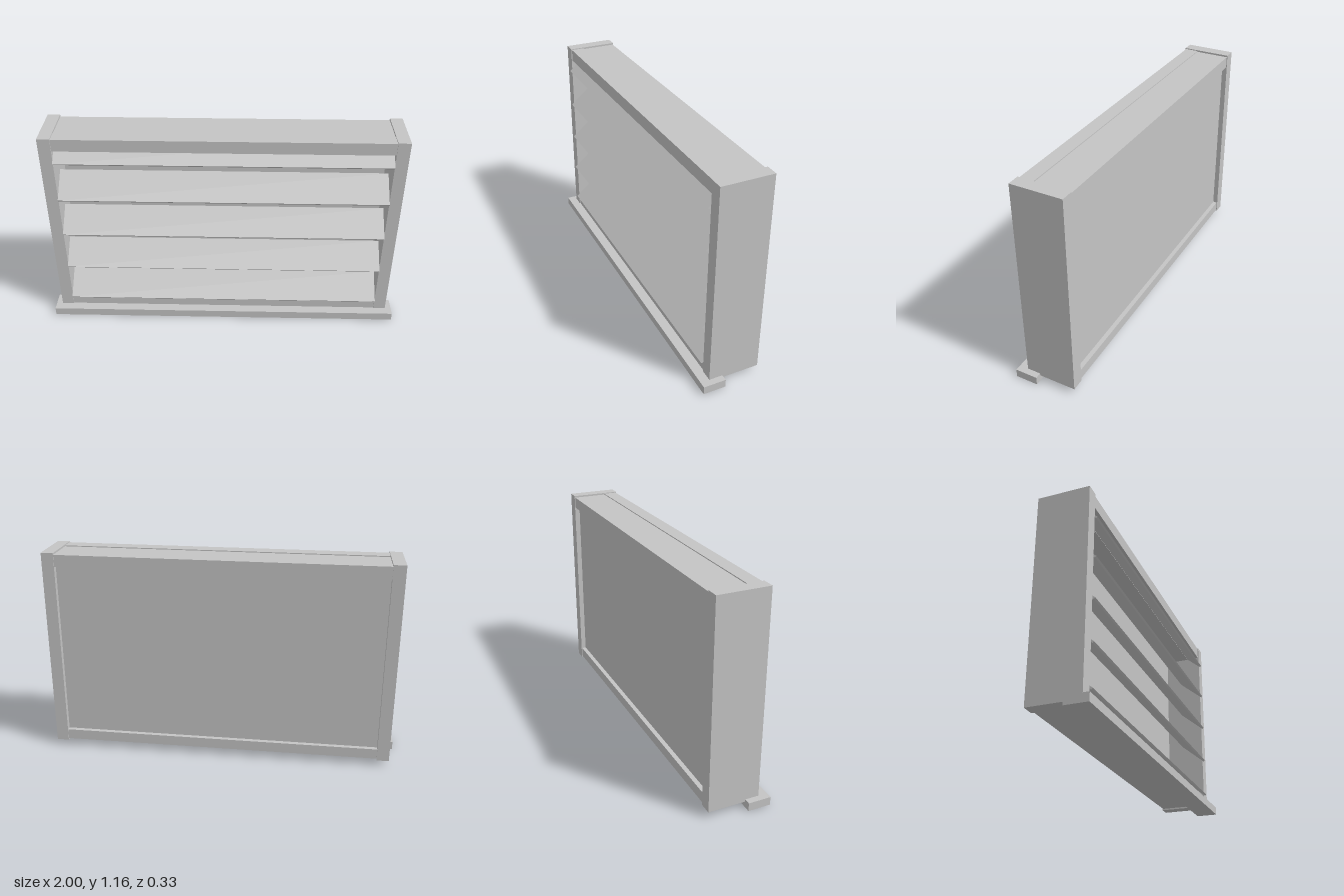
import * as THREE from 'three';

export function createModel() {
  const model = new THREE.Group();
  const grey = new THREE.MeshStandardMaterial({ color: 0xc4c4c4 });
  grey.name = 'plainGrey';

  // Box given by its limits on each axis
  function addBox(name, [x0, x1], [y0, y1], [z0, z1]) {
    const mesh = new THREE.Mesh(new THREE.BoxGeometry(x1 - x0, y1 - y0, z1 - z0), grey);
    mesh.position.set((x0 + x1) / 2, (y0 + y1) / 2, (z0 + z1) / 2);
    mesh.name = name;
    model.add(mesh);
  }

  const inner = 0.897, outer = 0.965;
  const span = [-inner, inner];

  // Side posts
  addBox('leftPost', [inner, outer], [0.033, 1.164], [-0.164, 0.117]);
  addBox('rightPost', [-outer, -inner], [0.033, 1.164], [-0.164, 0.117]);

  // Front and rear rails, the rear ones set slightly in
  addBox('frontTopRail', span, [1.09, 1.159], [0.036, 0.112]);
  addBox('frontBottomRail', span, [0.038, 0.1], [0.036, 0.112]);
  addBox('rearTopRail', span, [1.088, 1.154], [-0.16, 0.036]);
  addBox('rearBottomRail', span, [0.042, 0.1], [-0.16, 0.036]);

  // Recessed back panel
  addBox('backPanel', span, [0.08, 1.11], [-0.135, -0.11]);

  // Sill
  addBox('sill', [-1, 1], [0, 0.046], [0.042, 0.166]);

  // Sloping slats
  const slatGeometry = new THREE.BoxGeometry(2 * inner, 0.011, 0.18);
  for (let i = 0; i < 5; i++) {
    const slat = new THREE.Mesh(slatGeometry, grey);
    slat.name = `slat${i + 1}`;
    slat.position.set(0, 0.164 + i * 0.2285, 0.0595);
    slat.rotation.x = THREE.MathUtils.degToRad(40);
    model.add(slat);
  }

  return model;
}
